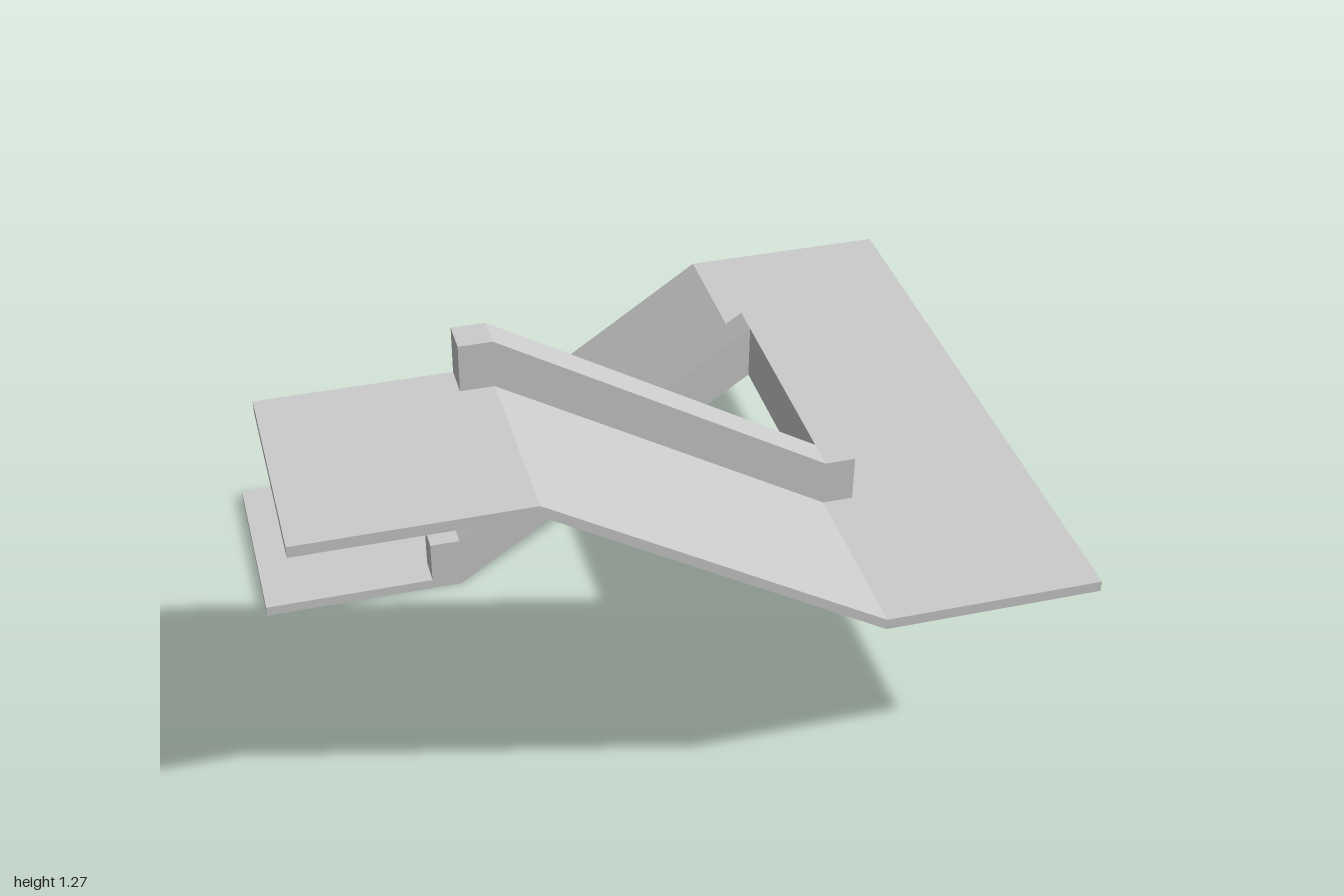
import * as THREE from 'three';

const material = new THREE.MeshStandardMaterial({ color: 0xcccccc, flatShading: true });

const OUTER = 0.855;  // outer side of the flights
const INNER = 0.285;  // stairwell side of the flights
const RAIL_W = 0.085;
const BEND = 0.43;    // x where level floor meets slope
const LAND = 0.62;    // walking height of the middle landing
const SLAB = 0.03;

// Side outline in x/y, extruded from z0 to z1
function extrudeSide(name, points, z0, z1) {
  const shape = new THREE.Shape(points.map(([x, y]) => new THREE.Vector2(x, y)));
  const geometry = new THREE.ExtrudeGeometry(shape, { depth: z1 - z0, bevelEnabled: false });
  geometry.translate(0, 0, z0);
  const mesh = new THREE.Mesh(geometry, material);
  mesh.name = name;
  return mesh;
}

// Box given by its lower and upper corners
function boxBetween(name, [x0, y0, z0], [x1, y1, z1]) {
  const mesh = new THREE.Mesh(new THREE.BoxGeometry(x1 - x0, y1 - y0, z1 - z0), material);
  mesh.name = name;
  mesh.position.set((x0 + x1) / 2, (y0 + y1) / 2, (z0 + z1) / 2);
  return mesh;
}

// Level end floor, sloping slab and its inner parapet; side is +1 (front) or -1 (back)
function makeFlight(name, endY, side) {
  const flight = new THREE.Group();
  flight.name = name;
  const span = (a, b) => (side > 0 ? [a, b] : [-b, -a]);

  flight.add(extrudeSide(name + 'Slab', [
    [-1, endY - SLAB], [-BEND, endY - SLAB], [BEND, LAND - SLAB],
    [BEND, LAND], [-BEND, endY], [-1, endY],
  ], ...span(INNER, OUTER)));

  flight.add(extrudeSide(name + 'Parapet', [
    [-0.515, endY], [-BEND, endY], [BEND, LAND],
    [BEND, LAND + 0.127], [-BEND, endY + 0.128], [-0.515, endY + 0.128],
  ], ...span(INNER, INNER + RAIL_W)));
  return flight;
}

export function createModel() {
  const model = new THREE.Group();
  model.name = 'switchbackRamp';

  model.add(makeFlight('upperFlight', 1.145, 1));
  model.add(makeFlight('lowerFlight', SLAB, -1));

  // Middle landing joining both flights, with the parapet across the stairwell
  model.add(boxBetween('landing', [BEND, LAND - SLAB, -OUTER], [1, LAND, OUTER]));
  const railZ = INNER + RAIL_W;
  model.add(boxBetween('landingParapet', [BEND, LAND, -railZ], [BEND + 0.08, LAND + 0.127, railZ]));

  return model;
}
